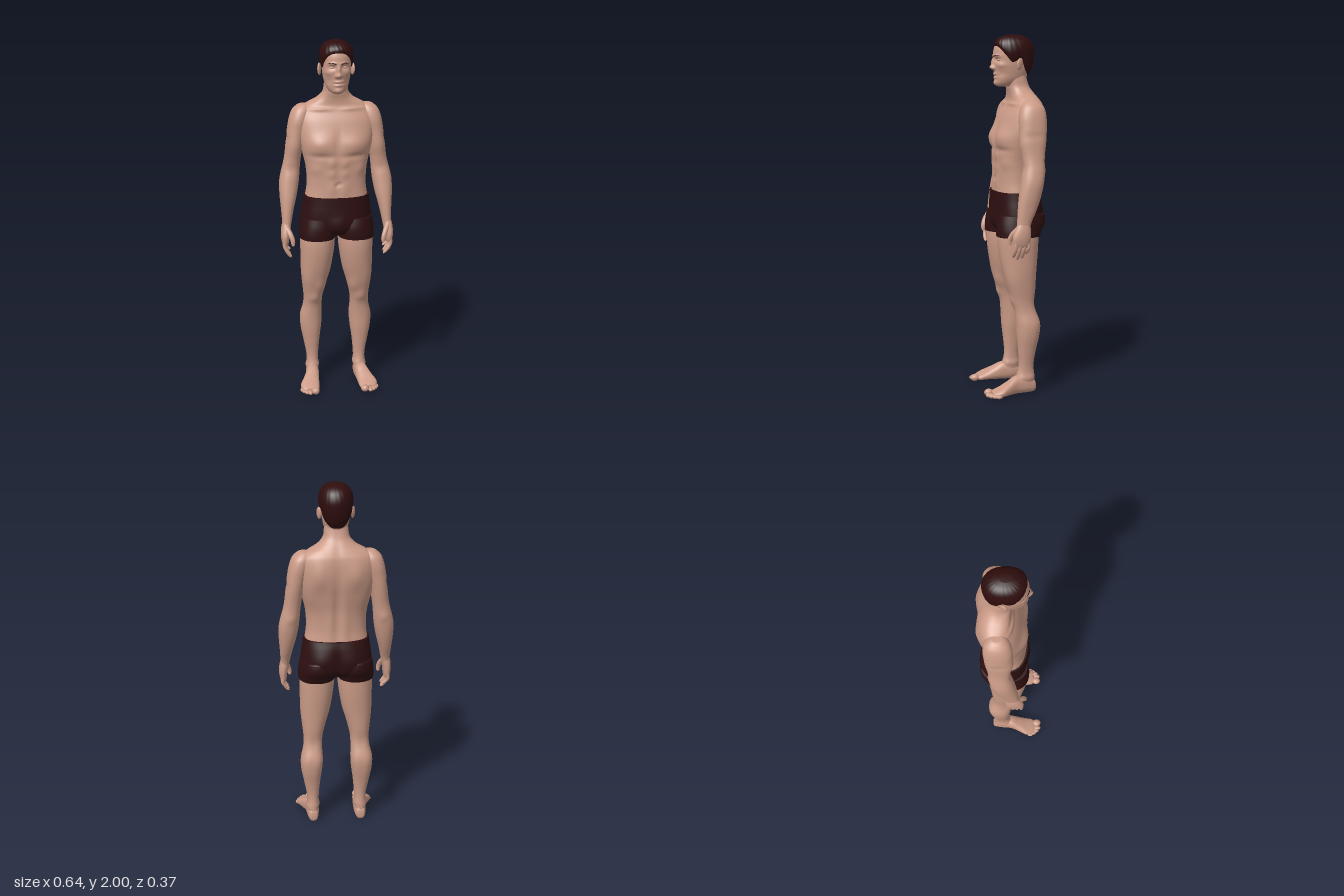
import * as THREE from 'three';

const material = (name, color) => {
  const m = new THREE.MeshStandardMaterial({ color });
  m.name = name;
  return m;
};

// Catmull-Rom blend of every column in a table of cross-sections, t from 0 to 1
function blend(rows, t) {
  const n = rows.length - 1, f = Math.min(t, 0.99999) * n, i = Math.floor(f), u = f - i;
  const at = k => rows[Math.max(0, Math.min(n, k))];
  return rows[i].map((b, c) => {
    const a = at(i - 1)[c], d = at(i + 1)[c], e = at(i + 2)[c];
    return b + 0.5 * u * (d - a + u * (2 * a - 5 * b + 4 * d - e + u * (3 * (b - d) + e - a)));
  });
}

// Point on a rounded section [along, x0, x1, depth0, depth1]; angle 0 is the front
function onSection([h, x0, x1, d0, d1], a, p) {
  const r = v => Math.sign(v) * Math.abs(v) ** (2 / p);
  return [(x0 + x1) / 2 + r(Math.sin(a)) * (x1 - x0) / 2, h, (d0 + d1) / 2 + r(Math.cos(a)) * (d1 - d0) / 2];
}

// Closed smooth skin from a function giving rings of points
function skinRings(point, along, around, swap = false) {
  const pos = [], idx = [];
  const tri = (a, b, c) => swap ? idx.push(a, c, b) : idx.push(a, b, c);
  for (let i = 0; i <= along; i++)
    for (let j = 0; j < around; j++) {
      const [x, y, z] = point(i / along, j / around * Math.PI * 2);
      pos.push(...(swap ? [x, z, y] : [x, y, z]));
    }
  for (let i = 0; i < along; i++)
    for (let j = 0; j < around; j++) {
      const a = i * around + j, b = i * around + (j + 1) % around;
      tri(a, b, b + around);
      tri(a, b + around, a + around);
    }
  for (const end of [0, along]) {
    const c = [0, 0, 0], k = pos.length / 3;
    for (let j = 0; j < around; j++) for (let q = 0; q < 3; q++) c[q] += pos[(end * around + j) * 3 + q] / around;
    pos.push(...c);
    for (let j = 0; j < around; j++) {
      const a = end * around + j, b = end * around + (j + 1) % around;
      end ? tri(k, a, b) : tri(k, b, a);
    }
  }
  const g = new THREE.BufferGeometry();
  g.setAttribute('position', new THREE.Float32BufferAttribute(pos, 3));
  g.setIndex(idx);
  g.computeVertexNormals();
  return g;
}

const loft = (rows, { p = 2.2, along = 60, around = 40, swap = false } = {}) =>
  skinRings((t, a) => onSection(blend(rows, t), a, p), along, around, swap);

// Push the surface out or in with soft mirrored bumps [x, y, z, rx, ry, amount]
function sculpt(g, bumps, rz = 0.07) {
  const p = g.attributes.position, n = g.attributes.normal;
  for (let i = 0; i < p.count; i++) {
    let s = 0;
    for (const [x, y, z, rx, ry, k] of bumps)
      s += k * Math.exp(-(((Math.abs(p.getX(i)) - x) / rx) ** 2) - ((p.getY(i) - y) / ry) ** 2 - ((p.getZ(i) - z) / rz) ** 2);
    p.setXYZ(i, p.getX(i) + n.getX(i) * s, p.getY(i) + n.getY(i) * s, p.getZ(i) + n.getZ(i) * s);
  }
  g.computeVertexNormals();
  return g;
}

// Tapered tube with a rounded tip
function digit(points, r, taper = 0.75) {
  const curve = new THREE.CatmullRomCurve3(points.map(q => new THREE.Vector3(...q)));
  const g = new THREE.TubeGeometry(curve, 16, r, 10), p = g.attributes.position, v = new THREE.Vector3();
  for (let i = 0; i < p.count; i++) {
    const t = Math.floor(i / 11) / 16, s = (1 - t * (1 - taper)) * Math.sqrt(Math.max(0, 1 - t ** 9));
    v.fromBufferAttribute(p, i).lerp(curve.getPointAt(t), 1 - s);
    p.setXYZ(i, v.x, v.y, v.z);
  }
  return g;
}

const ball = (x, y, z, rx, ry, rz) => new THREE.SphereGeometry(1, 20, 14).scale(rx, ry, rz).translate(x, y, z);

function mirrored(g) {
  const m = g.clone().scale(-1, 1, 1), a = m.index.array;
  for (let i = 0; i < a.length; i += 3) [a[i], a[i + 1]] = [a[i + 1], a[i]];
  return m;
}

export function createModel() {
  const model = new THREE.Group();
  model.name = 'standingMan';
  const skin = material('skin', 0xcb9b87), cloth = material('shorts', 0x2e0f10), hairMat = material('hair', 0x2f0d0d);
  hairMat.side = THREE.DoubleSide;
  const add = (name, g, m = skin) => {
    const mesh = new THREE.Mesh(g, m);
    mesh.name = name;
    model.add(mesh);
  };
  const pair = (name, g, m) => {
    add(name + 'Left', g, m);
    add(name + 'Right', mirrored(g), m);
  };
  const even = rows => rows.map(([y, w, z0, z1]) => [y, -w, w, z0, z1]);

  // Torso and neck
  add('torso', sculpt(loft(even([
    [1.0, 0.165, -0.14, 0.08], [1.1, 0.178, -0.145, 0.085], [1.2, 0.166, -0.135, 0.08], [1.3, 0.17, -0.14, 0.08],
    [1.4, 0.192, -0.16, 0.082], [1.48, 0.21, -0.174, 0.068], [1.56, 0.215, -0.176, 0.042], [1.615, 0.198, -0.17, 0.014],
    [1.648, 0.162, -0.157, 0.002], [1.68, 0.105, -0.138, 0.003], [1.715, 0.073, -0.115, 0.01],
    [1.76, 0.065, -0.1, 0.015], [1.8, 0.06, -0.095, 0.015]]), { p: 2.45, along: 110, around: 96 }), [
    [0.095, 1.44, 0.08, 0.07, 0.05, 0.018], [0.095, 1.375, 0.08, 0.07, 0.014, -0.008], [0, 1.44, 0.08, 0.014, 0.07, -0.008],
    [0.035, 1.335, 0.08, 0.024, 0.024, 0.007], [0.035, 1.275, 0.08, 0.024, 0.024, 0.006], [0.035, 1.19, 0.08, 0.026, 0.04, 0.006],
    [0, 1.27, 0.08, 0.009, 0.1, -0.004], [0, 1.215, 0.08, 0.012, 0.009, -0.013], [0.09, 1.625, 0.01, 0.06, 0.01, 0.007],
    [0.1, 1.53, -0.175, 0.05, 0.07, 0.014], [0, 1.38, -0.16, 0.02, 0.22, -0.014], [0.15, 1.42, -0.12, 0.04, 0.09, 0.008],
    [0.04, 1.22, -0.14, 0.024, 0.1, 0.007], [0.12, 1.3, 0.05, 0.03, 0.03, 0.006]]));

  // Shorts: hips and short legs
  add('shortsHips', sculpt(loft(even([
    [1.142, 0.183, -0.152, 0.093], [1.1, 0.188, -0.163, 0.095], [1.05, 0.195, -0.168, 0.097], [1.0, 0.2, -0.168, 0.096],
    [0.96, 0.198, -0.16, 0.09], [0.925, 0.165, -0.13, 0.07]]).reverse(), { p: 2.4, around: 72 }), [
    [0.09, 1.02, -0.16, 0.065, 0.07, 0.014], [0, 1.0, -0.16, 0.016, 0.09, -0.014], [0, 0.98, 0.09, 0.045, 0.05, 0.013]]), cloth);
  pair('shortsLeg', sculpt(loft([
    [0.898, 0.008, 0.212, -0.142, 0.1], [0.93, 0.004, 0.212, -0.152, 0.102], [0.97, 0.002, 0.208, -0.165, 0.1],
    [1.02, 0.01, 0.2, -0.165, 0.09]], { p: 2.3, along: 24 }), [[0.1, 0.98, -0.16, 0.06, 0.05, 0.01]]), cloth);

  // Legs
  pair('leg', sculpt(loft([
    [0.02, 0.112, 0.168, -0.105, 0.0], [0.06, 0.106, 0.172, -0.109, 0.008], [0.1, 0.105, 0.172, -0.105, -0.006],
    [0.16, 0.104, 0.173, -0.1, -0.018], [0.25, 0.096, 0.189, -0.114, -0.012], [0.33, 0.086, 0.204, -0.13, -0.004],
    [0.4, 0.083, 0.206, -0.132, 0.0], [0.47, 0.083, 0.191, -0.115, 0.008], [0.53, 0.08, 0.188, -0.106, 0.022],
    [0.6, 0.066, 0.194, -0.112, 0.042], [0.7, 0.036, 0.203, -0.12, 0.07], [0.8, 0.018, 0.205, -0.13, 0.088],
    [0.88, 0.01, 0.205, -0.135, 0.093], [0.97, 0.01, 0.195, -0.14, 0.085]], { along: 100 }), [
    [0.095, 0.61, 0.02, 0.03, 0.045, 0.009], [0.17, 0.65, 0.03, 0.03, 0.07, 0.006], [0.132, 0.535, 0.025, 0.026, 0.03, 0.008],
    [0.105, 0.4, -0.12, 0.03, 0.06, 0.008], [0.175, 0.41, -0.12, 0.03, 0.06, 0.005], [0.137, 0.14, -0.1, 0.02, 0.05, 0.004],
    [0.1, 0.1, -0.04, 0.03, 0.018, 0.006], [0.175, 0.09, -0.05, 0.03, 0.018, 0.006], [0.135, 0.5, -0.11, 0.03, 0.04, -0.005]]));

  // Feet and toes
  pair('foot', loft([
    [-0.115, 0.127, 0.152, 0.02, 0.045], [-0.105, 0.113, 0.165, 0.004, 0.075], [-0.06, 0.104, 0.175, 0, 0.1],
    [0, 0.105, 0.182, 0, 0.102], [0.05, 0.11, 0.202, 0, 0.076], [0.095, 0.114, 0.222, 0, 0.052],
    [0.13, 0.118, 0.215, 0.001, 0.037], [0.148, 0.13, 0.2, 0.006, 0.028]], { p: 2.4, swap: true }));
  [[0.143, 0.162, 0.024], [0.174, 0.165, 0.015], [0.192, 0.154, 0.014], [0.207, 0.138, 0.013], [0.217, 0.12, 0.012]]
    .forEach(([x, z, r], i) => pair('toe' + (i + 1), ball(x, r * 0.85, z, r * 0.95, r * 0.85, i ? r * 1.5 : 0.026)));

  // Arms
  pair('arm', sculpt(loft([
    [0.96, 0.262, 0.31, -0.03, 0.045], [1.0, 0.255, 0.309, -0.04, 0.04], [1.07, 0.24, 0.313, -0.072, 0.034],
    [1.14, 0.222, 0.318, -0.097, 0.025], [1.21, 0.209, 0.318, -0.114, 0.012], [1.27, 0.202, 0.307, -0.122, 0.002],
    [1.34, 0.196, 0.289, -0.125, -0.004], [1.42, 0.183, 0.276, -0.132, 0.002], [1.5, 0.165, 0.268, -0.143, 0.006],
    [1.56, 0.15, 0.259, -0.148, 0.006], [1.61, 0.14, 0.242, -0.14, -0.008], [1.638, 0.145, 0.215, -0.118, -0.03],
    [1.647, 0.16, 0.195, -0.1, -0.05]], { along: 90 }), [
    [0.235, 1.42, 0.0, 0.04, 0.06, 0.008], [0.25, 1.44, -0.13, 0.04, 0.07, 0.006], [0.28, 1.46, -0.06, 0.03, 0.02, -0.004],
    [0.25, 1.29, 0.0, 0.04, 0.03, -0.006], [0.255, 1.27, -0.125, 0.02, 0.025, 0.005]]));

  // Hands, fingers and thumbs
  pair('palm', loft([
    [0.865, 0.278, 0.308, -0.02, 0.058], [0.885, 0.274, 0.314, -0.028, 0.067], [0.92, 0.27, 0.318, -0.033, 0.068],
    [0.96, 0.263, 0.315, -0.034, 0.054], [1.0, 0.262, 0.306, -0.03, 0.034]], { along: 24, around: 28 }));
  [[-0.018, 0.825, 0.0115], [0.006, 0.8, 0.0125], [0.031, 0.792, 0.013], [0.054, 0.805, 0.0125]].forEach(([z, tip, r], i) =>
    pair('finger' + (i + 1), digit([[0.296, 0.895, z], [0.298, 0.86, z], [0.285, (0.86 + tip) / 2, z + 0.003], [0.262, tip, z + 0.004]], r)));
  pair('thumb', digit([[0.285, 0.965, 0.035], [0.266, 0.93, 0.064], [0.256, 0.9, 0.074], [0.254, 0.868, 0.074]], 0.0165));

  // Head with sculpted face
  const headRows = even([
    [1.718, 0.026, -0.04, 0.056], [1.732, 0.046, -0.06, 0.074], [1.76, 0.063, -0.095, 0.08], [1.8, 0.073, -0.115, 0.082],
    [1.84, 0.078, -0.126, 0.086], [1.88, 0.081, -0.132, 0.086], [1.92, 0.081, -0.133, 0.083], [1.955, 0.071, -0.119, 0.068],
    [1.977, 0.05, -0.092, 0.042], [1.988, 0.02, -0.055, 0.005]]);
  add('head', sculpt(loft(headRows, { along: 90, around: 110 }), [
    [0.033, 1.864, 0.08, 0.018, 0.011, -0.011], [0.03, 1.886, 0.085, 0.025, 0.008, 0.005], [0.052, 1.835, 0.06, 0.02, 0.014, 0.005],
    [0, 1.787, 0.085, 0.022, 0.006, 0.007], [0, 1.768, 0.085, 0.018, 0.007, 0.007], [0, 1.778, 0.085, 0.026, 0.003, -0.006],
    [0, 1.738, 0.075, 0.022, 0.014, 0.009], [0, 1.853, 0.09, 0.009, 0.022, 0.014], [0, 1.824, 0.09, 0.012, 0.013, 0.023],
    [0.013, 1.818, 0.09, 0.007, 0.008, 0.008], [0.05, 1.79, 0.05, 0.016, 0.02, -0.004]]));
  pair('eye', ball(0.033, 1.864, 0.066, 0.014, 0.007, 0.009));
  pair('eyebrow', digit([[0.014, 1.883, 0.09], [0.036, 1.889, 0.083], [0.056, 1.884, 0.066]], 0.003, 0.4), hairMat);
  pair('ear', ball(0, 0, 0, 0.009, 0.034, 0.021).rotateY(0.45).rotateX(-0.15).translate(0.091, 1.842, -0.036));

  // Hair follows the skull from a shaped hairline up to the crown
  const hairline = [[1.936], [1.934], [1.918], [1.885], [1.848], [1.862], [1.81], [1.785], [1.772], [1.77]];
  const findRow = y => {
    let lo = 0, hi = 1;
    for (let k = 0; k < 24; k++) blend(headRows, (lo + hi) / 2)[0] < y ? lo = (lo + hi) / 2 : hi = (lo + hi) / 2;
    return lo;
  };
  const along = 36, around = 120;
  const hair = skinRings((t, a) => {
    const start = findRow(blend(hairline, Math.min(a, Math.PI * 2 - a) / Math.PI)[0]);
    return onSection(blend(headRows, start + (1 - start) * t), a, 2.2);
  }, along, around);
  const p = hair.attributes.position, n = hair.attributes.normal;
  for (let i = 0; i < p.count; i++) {
    const t = Math.min(1, Math.floor(i / around) / along), a = i % around / around * Math.PI * 2;
    const edge = i === along * around + around ? 0 : 1 - (1 - t) ** 9;
    const s = -0.003 + 0.0145 * edge + 0.0012 * Math.sin(a * 24 + t * 9) * edge * (1 - t);
    p.setXYZ(i, p.getX(i) + n.getX(i) * s, p.getY(i) + n.getY(i) * s, p.getZ(i) + n.getZ(i) * s);
  }
  hair.computeVertexNormals();
  // Drop the inner cap hidden under the hairline
  hair.setIndex(Array.from(hair.index.array).filter((_, i, all) =>
    !all.slice(i - i % 3, i - i % 3 + 3).includes((along + 1) * around)));
  add('hair', hair, hairMat);
  return model;
}
